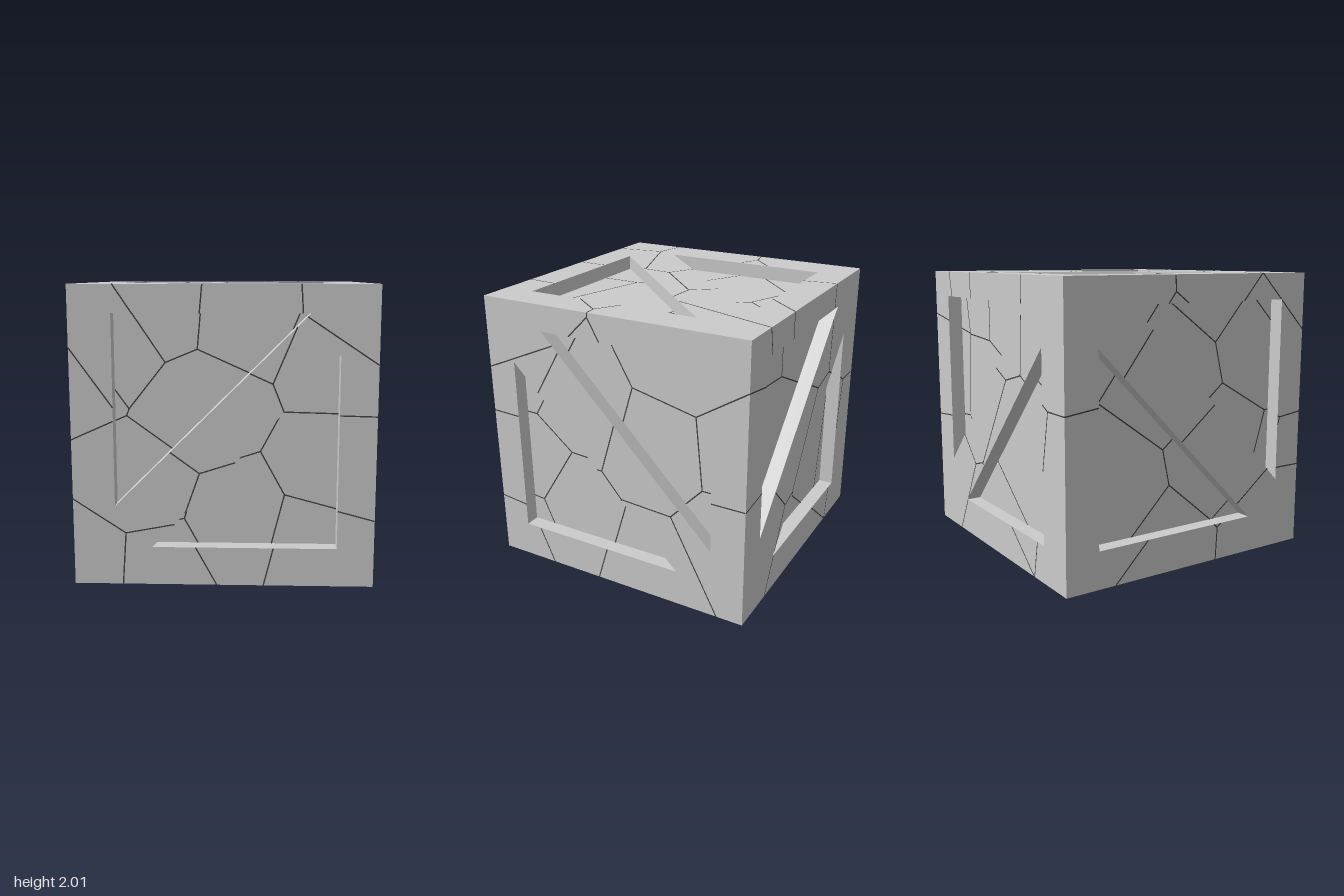
import * as THREE from 'three';
import { mergeGeometries } from 'three/addons/utils/BufferGeometryUtils.js';

const DEPTH = 0.105;      // depth of the recessed panels
const CRACK = 0.009;      // crack width

// Centres of the broken chunks; cracks lie halfway between neighbouring centres
const chunks = [
  // front
  [-.93, 1.5, .7], [-.72, 1.65, .85], [-.42, 1.85, .8], [.12, 1.8, .8], [.72, 1.55, .72], [-.15, 1.2, .85],
  [-.55, .65, .8], [.1, .42, .85], [.7, .75, .75], [.58, .3, .8], [-.88, .15, .8], [-.45, .12, .8], [.92, 1.85, .85],
  // left side
  [.8, .5, .35], [.8, 1.3, .3], [.8, 1.75, -.5], [.85, 1.1, -.35], [.8, .3, -.3], [.9, 1.15, -.88], [.85, .6, -.88],
  // top
  [-.3, 1.85, -.2], [-.6, 1.85, .3], [.25, 1.85, .35], [.3, 1.85, -.65], [-.85, 1.8, -.75], [0, 1.85, -.9],
  // back, right side and bottom
  [-.85, 1.3, -.1], [-.85, .8, .3], [-.85, .6, -.6], [-.6, .2, -.2], [0, .15, 0], [.1, .2, -.7], [-.3, .7, -.85],
  [.35, 1.1, -.85],
].map((p) => new THREE.Vector3(...p));

// Right-angled triangle from its square corner and two legs, counter-clockwise
function cornerTriangle(x, y, legX, legY) {
  const pts = [new THREE.Vector2(x, y), new THREE.Vector2(x + legX, y), new THREE.Vector2(x, y + legY)];
  return legX * legY < 0 ? pts.reverse() : pts;
}

// A convex outline as half-planes a*x + b*y <= c
const halfPlanes = (outline) => outline.map((p, i) => {
  const e = outline[(i + 1) % outline.length].clone().sub(p);
  return { a: e.y, b: -e.x, c: e.y * p.x - e.x * p.y };
});

const square = [[-1, -1], [1, -1], [1, 1], [-1, 1]].map(([x, y]) => new THREE.Vector2(x, y));

// Part [t0, t1] of the line p + t*d that lies within all half-planes
function clipLine(p, d, planes, span) {
  let [t0, t1] = span;
  for (const { a, b, c } of planes) {
    const slope = a * d.x + b * d.y, room = c - a * p.x - b * p.y;
    if (Math.abs(slope) < 1e-9) {
      if (room < 0) return null;
    } else if (slope > 0) t1 = Math.min(t1, room / slope);
    else t0 = Math.max(t0, room / slope);
  }
  return t1 - t0 > 0.004 ? [t0, t1] : null;
}

// Half-plane of points at height z that are nearer to chunk s than to chunk k
const nearer = (s, k, z) => ({
  a: 2 * (k.x - s.x), b: 2 * (k.y - s.y), c: k.lengthSq() - s.lengthSq() - 2 * z * (k.z - s.z),
});

// Crack strips on the plane at height z, within one outline and outside the holes
function crackStrips(sites, z, outline, holes) {
  const strips = [];
  const bounds = halfPlanes(outline);
  sites.forEach((s, i) => {
    const cell = sites.map((k) => nearer(s, k, z));
    for (let j = i + 1; j < sites.length; j++) {
      const { a, b, c } = cell[j];
      const n = new THREE.Vector2(a, b);
      const p = n.clone().multiplyScalar(c / n.lengthSq());
      const d = new THREE.Vector2(-b, a).normalize();
      const others = cell.filter((_, k) => k !== i && k !== j);
      const whole = clipLine(p, d, [...others, ...bounds], [-9, 9]);
      let spans = whole ? [whole] : [];
      for (const hole of holes) {
        spans = spans.flatMap((span) => {
          const gap = clipLine(p, d, halfPlanes(hole), span);
          return gap ? [[span[0], gap[0]], [gap[1], span[1]]] : [span];
        });
      }
      for (const [t0, t1] of spans) {
        if (t1 - t0 < 0.004) continue;
        const mid = p.clone().addScaledVector(d, (t0 + t1) / 2);
        strips.push(new THREE.PlaneGeometry(t1 - t0, CRACK)
          .rotateZ(Math.atan2(d.y, d.x)).translate(mid.x, mid.y, z + 0.0015));
      }
    }
  });
  return strips;
}

// Frame with diagonal brace: a square with two triangular openings
function frameGeometry(tris) {
  const shape = new THREE.Shape(square);
  tris.forEach((t) => shape.holes.push(new THREE.Path(t.slice().reverse())));
  return new THREE.ShapeGeometry(shape).translate(0, 0, 1);
}

// Floor and three inward-facing walls of one recessed panel
function recessGeometry(tri) {
  const floor = new THREE.ShapeGeometry(new THREE.Shape(tri)).translate(0, 0, 1 - DEPTH);
  const walls = tri.map((a, i) => {
    const b = tri[(i + 1) % 3];
    return new THREE.PlaneGeometry(a.distanceTo(b), DEPTH)
      .rotateX(-Math.PI / 2)
      .rotateZ(Math.atan2(b.y - a.y, b.x - a.x))
      .translate((a.x + b.x) / 2, (a.y + b.y) / 2, 1 - DEPTH / 2);
  });
  return mergeGeometries([floor, ...walls]);
}

export function createModel() {
  const crate = new THREE.Group();
  crate.name = 'crackedCrate';
  const grey = new THREE.MeshStandardMaterial({ color: 0xcccccc });
  const dark = new THREE.MeshStandardMaterial({ color: 0x444444 });

  // Each face: turn about x and y, then the two triangular panels
  const H = Math.PI / 2;
  const faces = [
    ['front', 0, 0, [-.72, .815, 1.28, -1.275], [.755, -.74, -1.23, 1.295]],
    ['back', 0, 2 * H, [-.755, .815, 1.28, -1.275], [.72, -.74, -1.23, 1.295]],
    ['left', 0, H, [.755, .815, -1.285, -1.315], [-.785, -.74, 1.28, 1.295]],
    ['right', 0, -H, [.785, .815, -1.285, -1.315], [-.755, -.74, 1.28, 1.295]],
    ['top', -H, 0, [-.72, .76, 1.23, -1.25], [.755, -.78, -1.255, 1.29]],
    ['bottom', H, 0, [-.72, -.76, 1.23, 1.25], [.755, .78, -1.255, -1.29]],
  ];

  for (const [name, turnX, turnY, ...panels] of faces) {
    const face = new THREE.Group();
    face.name = name + 'Face';
    face.rotation.set(turnX, turnY, 0);
    face.position.y = 1;
    const add = (part, geometry, material) => {
      const mesh = new THREE.Mesh(geometry, material);
      mesh.name = name + part;
      face.add(mesh);
    };

    const tris = panels.map((p) => cornerTriangle(...p));
    add('FrameAndBrace', frameGeometry(tris), grey);
    tris.forEach((t, i) => add(i ? 'SecondPanel' : 'FirstPanel', recessGeometry(t), grey));

    // Cracks on the frame and on both panel floors
    const toFace = face.quaternion.clone().invert();
    const sites = chunks.map((s) => s.clone().sub(face.position).applyQuaternion(toFace));
    add('Cracks', mergeGeometries([
      ...crackStrips(sites, 1, square, tris),
      ...tris.flatMap((t) => crackStrips(sites, 1 - DEPTH, t, [])),
    ]), dark);
    crate.add(face);
  }
  return crate;
}
